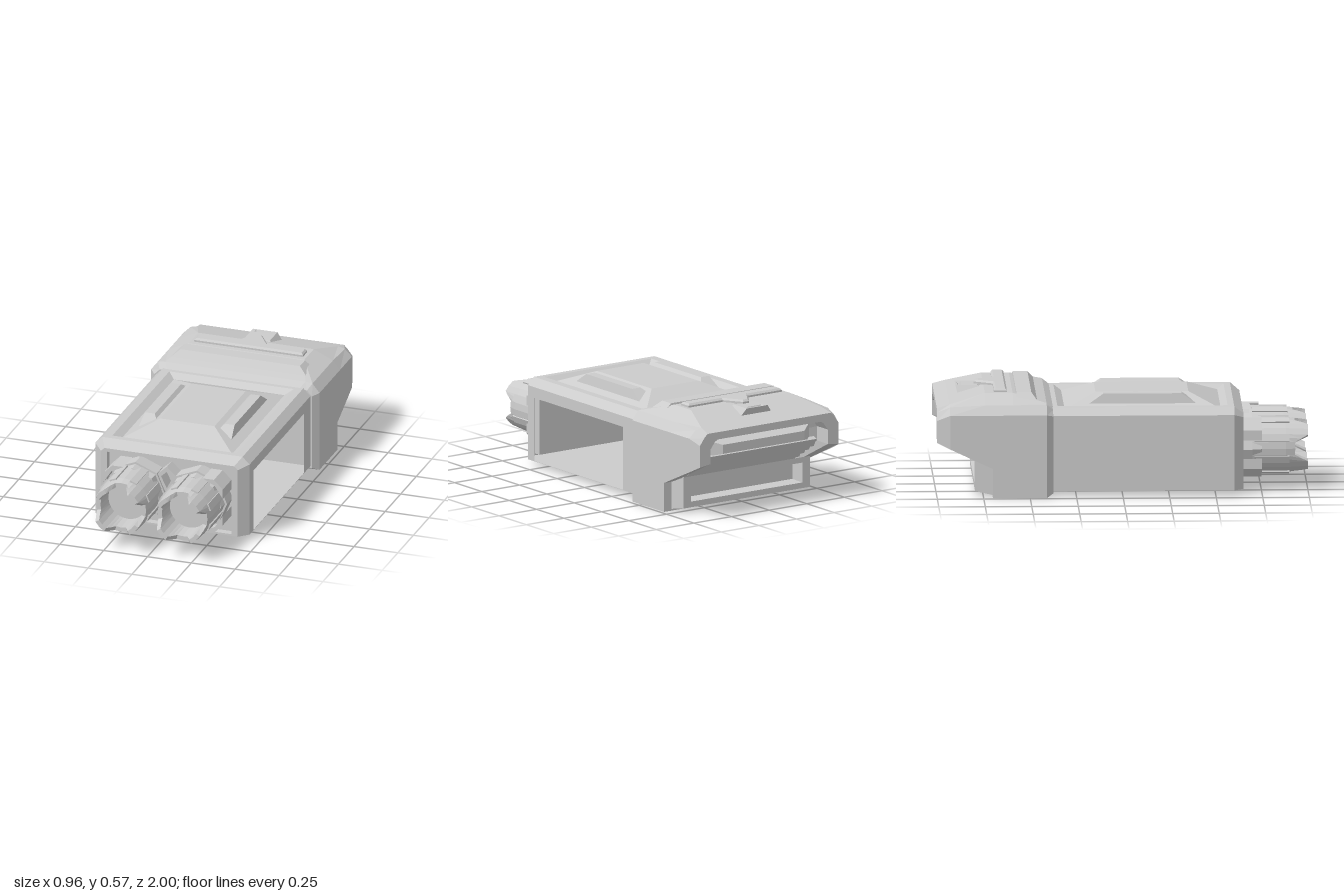
import * as THREE from 'three';

const mat = new THREE.MeshStandardMaterial({ color: 0xcccccc, flatShading: true, side: THREE.DoubleSide });

function mesh(name, geometry, parent) {
  const m = new THREE.Mesh(geometry, mat);
  m.name = name;
  parent.add(m);
  return m;
}

// Skin through rows of [x, y, z] points; optionally closed round and capped at the last row
function skin(rows, { closed = true, cap = false, capStart = false } = {}) {
  const pos = [];
  const n = rows[0].length;
  for (let i = 0; i < rows.length - 1; i++) {
    for (let j = 0; j < (closed ? n : n - 1); j++) {
      const k = (j + 1) % n;
      const a = rows[i][j], b = rows[i][k], c = rows[i + 1][k], d = rows[i + 1][j];
      pos.push(...a, ...b, ...c, ...a, ...c, ...d);
    }
  }
  const fan = (row, flip) => {
    const mid = [0, 1, 2].map(t => row.reduce((s, p) => s + p[t], 0) / n);
    row.forEach((p, j) => {
      const q = row[(j + 1) % n];
      pos.push(...mid, ...(flip ? q : p), ...(flip ? p : q));
    });
  };
  if (cap) fan(rows[rows.length - 1], false);
  if (capStart) fan(rows[0], true);
  const g = new THREE.BufferGeometry();
  g.setAttribute('position', new THREE.Float32BufferAttribute(pos, 3));
  g.computeVertexNormals();
  return g;
}

// Rectangles lying flat (at height y) and standing (at depth z)
const flatRect = (x0, x1, z0, z1, y) => [[x0, y, z1], [x1, y, z1], [x1, y, z0], [x0, y, z0]];
const standRect = (x0, x1, y0, y1, z) => [[x0, y0, z], [x1, y0, z], [x1, y1, z], [x0, y1, z]];
// Half outline on +x, mirrored into a full one
const mirror = half => [...half, ...half.slice().reverse().map(([x, y, z]) => [-x, y, z])];
const toShape = pts => new THREE.Shape(pts.map(p => new THREE.Vector2(...p)));

function buildBody(root) {
  const body = new THREE.Group();
  body.name = 'mainBody';
  root.add(body);

  // Floor, closed side and shoulder chamfers
  const run = pts => skin([0.6, -0.4].map(z => pts.map(([x, y]) => [x, y, z])), { closed: false });
  mesh('floorAndSide', run([[-0.4, 0.48], [-0.44, 0.44], [-0.44, 0.03], [0.44, 0.03]]), body);
  mesh('shoulder', run([[0.44, 0.44], [0.4, 0.48]]), body);

  // Side wall with a large opening
  const wall = toShape([[-0.6, 0.03], [0.4, 0.03], [0.4, 0.44], [-0.6, 0.44]]);
  wall.holes.push(new THREE.Path([[-0.54, 0.032], [-0.54, 0.38], [0.27, 0.38], [0.27, 0.032]].map(p => new THREE.Vector2(...p))));
  const wallMesh = mesh('openSide', new THREE.ShapeGeometry(wall), body);
  wallMesh.rotation.y = Math.PI / 2;
  wallMesh.position.x = 0.44;

  // Roof: sunken frame with a raised pyramid panel
  mesh('roof', skin([
    flatRect(-0.4, 0.4, -0.4, 0.6, 0.48),
    flatRect(-0.355, 0.355, -0.35, 0.565, 0.48),
    flatRect(-0.315, 0.315, -0.31, 0.53, 0.455),
    flatRect(-0.155, 0.155, -0.14, 0.36, 0.525),
  ], { cap: true }), body);
  for (const s of [-1, 1]) {
    mesh('roofStrip', skin([
      flatRect(s * 0.145, s * 0.265, -0.18, 0.4, 0.475),
      flatRect(s * 0.2, s * 0.255, -0.1, 0.32, 0.53),
    ], { cap: true }), body);
  }

  // Front: chamfered border round a recessed panel
  const panel = z => mirror([[0.355, 0.04, z], [0.355, 0.42, z], [0.355, 0.42, z]]);
  mesh('frontFace', skin([
    mirror([[0.44, 0.03, 0.6], [0.44, 0.44, 0.6], [0.4, 0.48, 0.6]]),
    mirror([[0.39, 0.03, 0.65], [0.39, 0.42, 0.65], [0.37, 0.44, 0.65]]),
    panel(0.65), panel(0.61),
  ], { cap: true }), body);
}

function buildBarrel(root, side) {
  const barrel = new THREE.Group();
  barrel.name = side > 0 ? 'leftBarrel' : 'rightBarrel';
  barrel.position.set(side * 0.175, 0.235, 0);
  root.add(barrel);

  const ring = (r, z, n = 8, turn = 0) => Array.from({ length: n }, (_, i) => {
    const a = (i / n) * Math.PI * 2 + turn;
    return [r * Math.cos(a), r * Math.sin(a), z];
  });
  mesh('collar', skin([ring(0.172, 0.61), ring(0.172, 0.7), ring(0.16, 0.7), ring(0.155, 0.75), ring(0.14, 0.75)]), barrel);

  // Crown muzzle: four teeth with sloped valleys between
  const angles = [0, 14, 22.5, 31, 45, 59, 67.5, 76];
  const tips = [0.93, 0.93, 0.965, 1, 1, 1, 0.965, 0.93];
  const crown = (r, z) => Array.from({ length: 32 }, (_, i) => {
    const a = THREE.MathUtils.degToRad(angles[i % 8] + 90 * Math.floor(i / 8));
    return [r * Math.cos(a), r * Math.sin(a), z ?? tips[i % 8]];
  });
  mesh('muzzle', skin([
    crown(0.15, 0.65), crown(0.15, 0.88), crown(0.142), crown(0.118), crown(0.112, 0.82),
  ], { cap: true }), barrel);

  for (let i = 0; i < 8; i++) {
    const a = (i + 0.5) * Math.PI / 4;
    const rib = mesh('rib', new THREE.BoxGeometry(0.02, 0.04, 0.19), barrel);
    rib.position.set(0.146 * Math.cos(a), 0.146 * Math.sin(a), 0.805);
    rib.rotation.z = a;
  }

  // Corner brackets beside the collar
  const bracket = toShape([[0.05, 0.155], [0.115, 0.155], [0.165, 0.105], [0.165, 0.05], [0.12, 0.12]]);
  for (const s of [-1, 1]) {
    const b = mesh('cornerBracket', new THREE.ExtrudeGeometry(bracket, { depth: 0.14, bevelEnabled: false }), barrel);
    b.position.z = 0.61;
    b.scale.set(side, s, 1);
  }
}

function buildRear(root) {
  const rear = new THREE.Group();
  rear.name = 'rearHousing';
  root.add(rear);

  // Hood sections: z, side x, bottom y, side top y, corner x, corner y, roof x, roof y
  const rows = [
    [-0.375, 0.45, 0.02, 0.44, 0.42, 0.47, 0.38, 0.48],
    [-0.41, 0.48, 0, 0.45, 0.44, 0.5, 0.4, 0.505],
    [-0.59, 0.48, 0, 0.45, 0.44, 0.5, 0.33, 0.55],
    [-0.7, 0.48, 0, 0.45, 0.44, 0.5, 0.33, 0.55],
    [-0.7, 0.48, 0.16, 0.45, 0.44, 0.5, 0.33, 0.55],
    [-0.74, 0.48, 0.178, 0.45, 0.44, 0.5, 0.33, 0.55],
    [-0.93, 0.48, 0.267, 0.45, 0.44, 0.49, 0.4, 0.5],
    [-1, 0.46, 0.3, 0.42, 0.43, 0.46, 0.41, 0.48],
  ].map(([z, w, b, s, c, cs, r, t]) => mirror([[w, b, z], [w, s, z], [c, cs, z], [r, t, z]]));
  mesh('hood', skin(rows, { closed: false, capStart: true }), rear);
  mesh('floor', skin([
    [[0.45, 0.02, -0.375], [-0.45, 0.02, -0.375]], [[0.48, 0, -0.41], [-0.48, 0, -0.41]],
    [[0.48, 0, -0.7], [-0.48, 0, -0.7]], [[0.48, 0.16, -0.7], [-0.48, 0.16, -0.7]],
  ], { closed: false }), rear);

  // Rim and inside of the rear opening, which bends under the hood
  const inner = dz => mirror([[0.41, 0.16, -0.7 + dz], [0.39, 0.31, -1 + dz], [0.39, 0.39, -1 + dz], [0.36, 0.43, -1 + dz], [0.34, 0.44, -1 + dz]]);
  mesh('openingRim', skin([
    mirror([[0.48, 0.16, -0.7], [0.46, 0.3, -1], [0.46, 0.42, -1], [0.43, 0.46, -1], [0.41, 0.48, -1]]),
    inner(0), inner(0.1),
  ], { cap: true }), rear);
  mesh('ventPlate', skin([
    standRect(-0.36, 0.36, 0.32, 0.42, -0.88), standRect(-0.27, 0.27, 0.34, 0.39, -0.95),
  ], { cap: true }), rear);
  for (let i = 0; i < 6; i++) {
    const slat = mesh('ventSlat', new THREE.BoxGeometry(0.74, 0.05, 0.025), rear);
    slat.position.set(0, 0.17 + i * 0.028, -0.68 - i * 0.044);
    slat.rotation.x = -0.5;
  }

  // Lower step with its sunken panel
  mesh('lowerStep', skin([
    standRect(-0.43, 0.43, 0.01, 0.16, -0.7), standRect(-0.42, 0.42, 0.03, 0.2, -0.795),
    standRect(-0.37, 0.37, 0.06, 0.17, -0.795), standRect(-0.35, 0.35, 0.07, 0.16, -0.73),
  ], { cap: true }), rear);

  // Raised roof trim
  mesh('roofRamp', skin([
    flatRect(-0.4, 0.4, -0.58, -0.45, 0.505), flatRect(-0.34, 0.34, -0.57, -0.49, 0.555),
  ], { cap: true }), rear);
  const chevron = toShape([[-0.3, 0.63], [0.3, 0.63], [0.3, 0.68], [0.08, 0.68], [0.015, 0.78], [-0.015, 0.78], [-0.08, 0.68], [-0.3, 0.68]]);
  const bar = mesh('roofChevron', new THREE.ExtrudeGeometry(chevron, { depth: 0.02, bevelThickness: 0.01, bevelSize: 0.01, bevelSegments: 1 }), rear);
  bar.rotation.x = -Math.PI / 2;
  bar.position.y = 0.54;
  mesh('roofKnob', skin([
    flatRect(-0.1, 0.1, -0.88, -0.74, 0.51), flatRect(-0.07, 0.07, -0.89, -0.77, 0.55),
    flatRect(-0.05, 0.05, -0.88, -0.86, 0.55), flatRect(-0.04, 0.04, -0.875, -0.865, 0.54),
  ], { cap: true }), rear);
}

export function createModel() {
  const root = new THREE.Group();
  root.name = 'twinBarrelPod';
  buildBody(root);
  for (const side of [-1, 1]) buildBarrel(root, side);
  buildRear(root);

  // Diamond frame between the barrels
  const diamond = toShape([[0, 0.4], [0.055, 0.35], [0, 0.235], [-0.055, 0.35]]);
  diamond.holes.push(new THREE.Path([[0, 0.37], [-0.033, 0.34], [0, 0.275], [0.033, 0.34]].map(p => new THREE.Vector2(...p))));
  mesh('diamondFrame', new THREE.ExtrudeGeometry(diamond, { depth: 0.08, bevelEnabled: false }), root).position.z = 0.61;
  return root;
}
